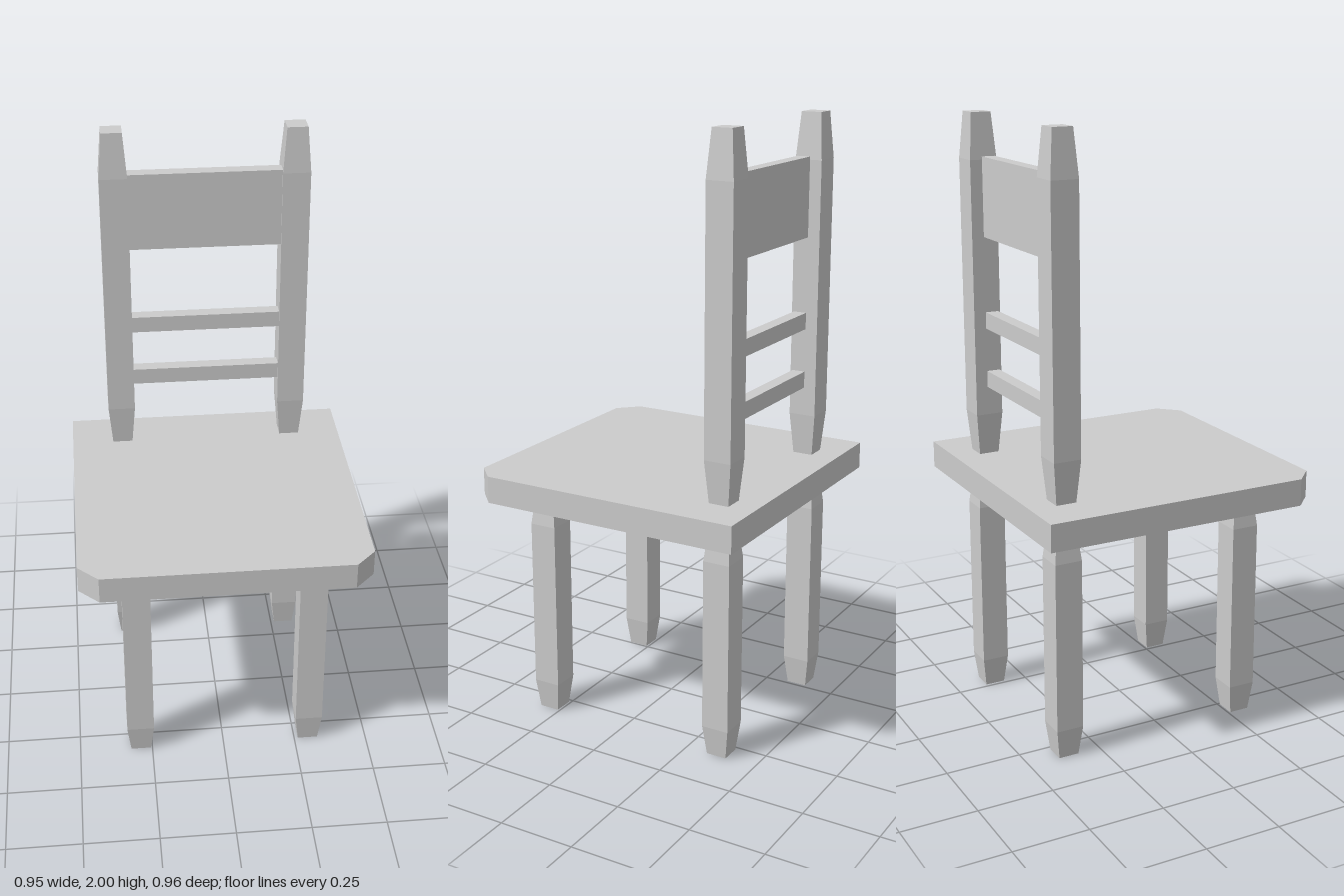
import * as THREE from 'three';

const material = new THREE.MeshStandardMaterial({ color: 0xcccccc, flatShading: true });

function addMesh(parent, geometry, name, x, y, z) {
  const mesh = new THREE.Mesh(geometry, material);
  mesh.name = name;
  mesh.position.set(x, y, z);
  parent.add(mesh);
}

// Square post standing on y = 0, narrowing at both ends
function taperedPost(height, bottomTaper, topTaper) {
  const full = 0.046, end = 0.034;
  const geometry = new THREE.BoxGeometry(1, 1, 1, 1, 3, 1);
  const levels = [[0, end], [bottomTaper, full], [height - topTaper, full], [height, end]];
  const p = geometry.attributes.position;
  for (let i = 0; i < p.count; i++) {
    const [y, half] = levels[Math.round((p.getY(i) + 0.5) * 3)];
    p.setXYZ(i, Math.sign(p.getX(i)) * half, y, Math.sign(p.getZ(i)) * half);
  }
  geometry.computeVertexNormals();
  return geometry;
}

export function createModel() {
  const chair = new THREE.Group();
  chair.name = 'chair';
  const seatBottom = 0.77, seatTop = 0.86, backZ = -0.361;

  // Seat slab with clipped front corners
  const w = 0.473, back = -0.482, front = 0.478, cut = 0.066;
  const outline = new THREE.Shape([
    [-w, -back], [-w, -front + cut], [-w + cut, -front],
    [w - cut, -front], [w, -front + cut], [w, -back],
  ].map(([x, y]) => new THREE.Vector2(x, y)));
  const seat = new THREE.ExtrudeGeometry(outline, { depth: seatTop - seatBottom, bevelEnabled: false });
  seat.rotateX(-Math.PI / 2);
  addMesh(chair, seat, 'seat', 0, seatBottom, 0);

  // Legs below the seat
  const leg = taperedPost(seatBottom, 0.1, 0.1);
  addMesh(chair, leg, 'backLegLeft', 0.297, 0, backZ);
  addMesh(chair, leg, 'backLegRight', -0.297, 0, backZ);
  addMesh(chair, leg, 'frontLegLeft', 0.297, 0, 0.292);
  addMesh(chair, leg, 'frontLegRight', -0.289, 0, 0.292);

  // Backrest posts above the seat
  const post = taperedPost(2 - seatTop, 0.14, 0.15);
  addMesh(chair, post, 'backPostLeft', 0.297, seatTop, backZ);
  addMesh(chair, post, 'backPostRight', -0.297, seatTop, backZ);

  // Backrest panel and slats between the posts
  for (const [name, low, high] of [
    ['lowerSlat', 1.095, 1.15], ['upperSlat', 1.295, 1.35], ['topPanel', 1.6, 1.86],
  ]) {
    const rail = new THREE.BoxGeometry(0.52, high - low, 0.044);
    addMesh(chair, rail, name, 0, (low + high) / 2, -0.344);
  }
  return chair;
}
